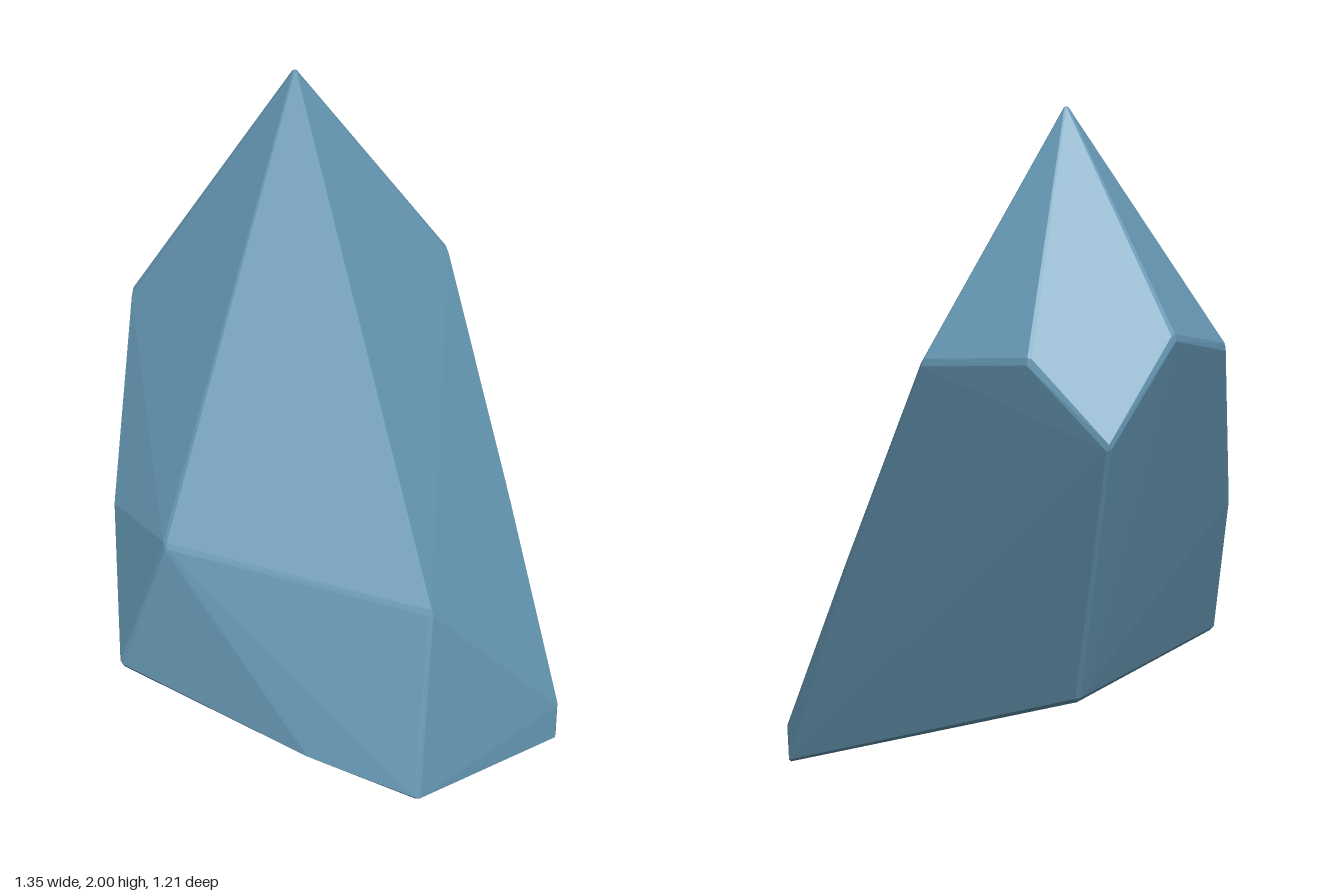
import * as THREE from 'three';
import { ConvexGeometry } from 'three/addons/geometries/ConvexGeometry.js';

// Corners of the faceted stone
const corners = {
  apex: [-0.25, 2.012, -0.145],
  shoulderRight: [-0.668, 1.37, -0.11],
  shoulderFront: [-0.513, 1.275, 0.253],
  frontBend: [-0.272, 0.75, 0.505],
  frontRidge: [-0.02, 0.74, 0.512],
  frontFoot: [-0.1, 0.337, 0.61],
  leftFoot: [0.677, 0.065, 0.117],
  lowerBend: [0.42, 0.153, 0.308],
  leftRidge: [0.585, 0.612, -0.005],
  backFoot: [0.553, 0, -0.49],
  backFootTop: [0.547, 0.1, -0.502],
  backBend: [0.25, 0.63, -0.556],
  backShoulder: [-0.12, 1.292, -0.61],
  backCorner: [-0.465, 1.325, -0.512],
  rightCorner: [-0.68, 1.08, -0.393],
  rightFoot: [-0.4, 0.275, -0.243],
};

// Each facet lists the corners around it
const facets = [
  'apex shoulderRight shoulderFront',
  'apex shoulderFront frontBend frontFoot frontRidge',
  'apex frontRidge leftRidge',
  'frontRidge frontFoot lowerBend',
  'frontRidge lowerBend leftFoot leftRidge',
  'apex leftRidge backBend backShoulder',
  'leftRidge backFootTop backBend',
  'leftRidge leftFoot backFoot backFootTop',
  'apex backShoulder backCorner',
  'apex backCorner rightCorner shoulderRight',
  'backShoulder backBend backFootTop backFoot rightFoot rightCorner backCorner',
  'shoulderRight rightCorner rightFoot frontFoot frontBend shoulderFront',
  'rightFoot backFoot leftFoot lowerBend frontFoot',
];

const BEVEL = 0.014;

// Pull facet corners inwards so the hull gets narrow worn edges
function bevelledPoints() {
  const points = [];
  for (const facet of facets) {
    const ring = facet.split(' ').map((name) => new THREE.Vector3(...corners[name]));
    const centre = new THREE.Vector3();
    ring.forEach((p) => centre.addScaledVector(p, 1 / ring.length));
    for (const p of ring) {
      const inward = centre.clone().sub(p).setLength(BEVEL);
      points.push(p.clone().add(inward));
    }
  }
  return points;
}

export function createModel() {
  const group = new THREE.Group();
  group.name = 'crystalRock';
  const blueStone = new THREE.MeshStandardMaterial({ color: 0x6699b5 });
  blueStone.name = 'blueStone';
  blueStone.flatShading = true;

  const stone = new THREE.Mesh(new ConvexGeometry(bevelledPoints()), blueStone);
  stone.name = 'stone';
  group.add(stone);
  return group;
}
